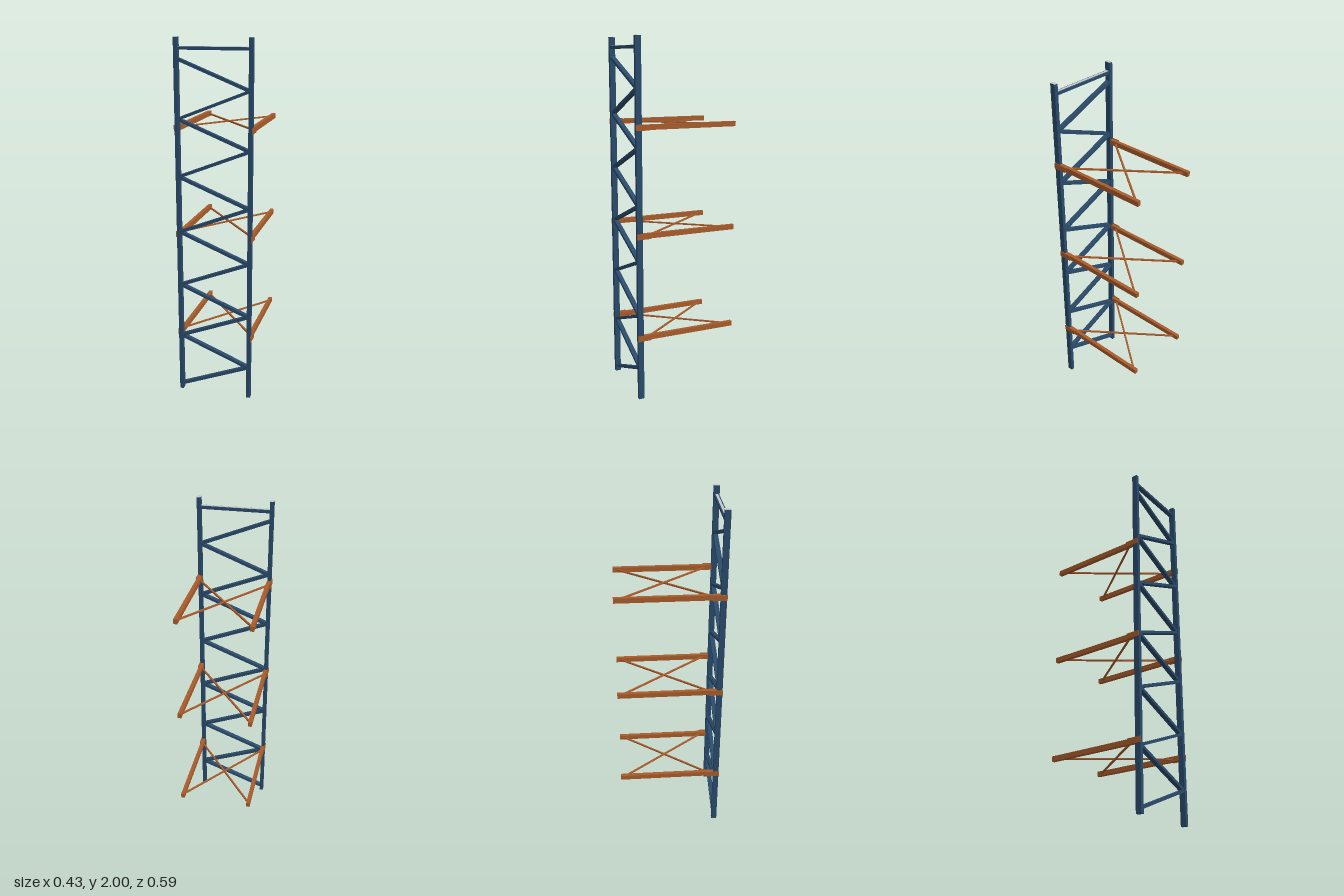
import * as THREE from 'three';

const blue = new THREE.MeshStandardMaterial({ color: 0x2a4a6a });
blue.name = 'blue paint';
const orange = new THREE.MeshStandardMaterial({ color: 0xa85c2c });
orange.name = 'orange paint';
const grey = new THREE.MeshStandardMaterial({ color: 0xc6cacd });
grey.name = 'bare steel';

const FRONT_Z = 0.275; // centre plane of the upright frame

function box(name, material, size, position) {
  const mesh = new THREE.Mesh(new THREE.BoxGeometry(...size), material);
  mesh.name = name;
  mesh.position.set(...position);
  return mesh;
}

// Rectangular bar between two points; its local x runs along the bar
function bar(name, material, a, b, height, depth) {
  const start = new THREE.Vector3(...a), end = new THREE.Vector3(...b);
  const along = end.clone().sub(start);
  const mesh = box(name, material, [along.length(), height, depth], [0, 0, 0]);
  mesh.position.copy(start).add(end).multiplyScalar(0.5);
  mesh.quaternion.setFromUnitVectors(new THREE.Vector3(1, 0, 0), along.normalize());
  return mesh;
}

// Upright ladder frame: two posts, zigzag lacing and a top tie
function makeFrame() {
  const frame = new THREE.Group();
  frame.name = 'uprightFrame';
  for (const side of [-1, 1]) {
    frame.add(box('post', blue, [0.021, 1.998, 0.032], [side * 0.199, 0.999, FRONT_Z]));
    frame.add(box('postCap', grey, [0.021, 0.002, 0.032], [side * 0.199, 1.999, FRONT_Z]));
  }
  for (let i = 0; i < 12; i++) {
    const side = i % 2 ? 1 : -1;
    const y = 0.03 + i * 0.155;
    frame.add(bar('diagonalBrace', blue,
      [side * 0.195, y, FRONT_Z], [-side * 0.195, y + 0.155, FRONT_Z], 0.016, 0.026));
  }
  frame.add(box('topTie', blue, [0.378, 0.016, 0.026], [0, 1.943, FRONT_Z]));
  frame.add(box('topTieStrip', grey, [0.378, 0.002, 0.013], [0, 1.952, FRONT_Z]));
  return frame;
}

// One level: two arms reaching back, outer connector plates and a flat cross brace
function makeLevel(y) {
  const level = new THREE.Group();
  level.name = 'beamLevel';
  level.position.y = y;
  for (const side of [-1, 1]) {
    level.add(box('arm', orange, [0.021, 0.028, 0.556], [side * 0.197, 0, -0.018]));
    level.add(box('connectorPlate', orange, [0.004, 0.032, 0.079], [side * 0.2115, 0, 0.2535]));
    level.add(bar('crossBrace', orange,
      [-side * 0.19, 0, -0.268], [side * 0.19, 0, 0.222], 0.008, 0.01));
  }
  return level;
}

export function createModel() {
  const model = new THREE.Group();
  model.name = 'rackBay';
  model.add(makeFrame());
  for (const y of [0.364, 0.949, 1.534]) model.add(makeLevel(y));
  return model;
}
